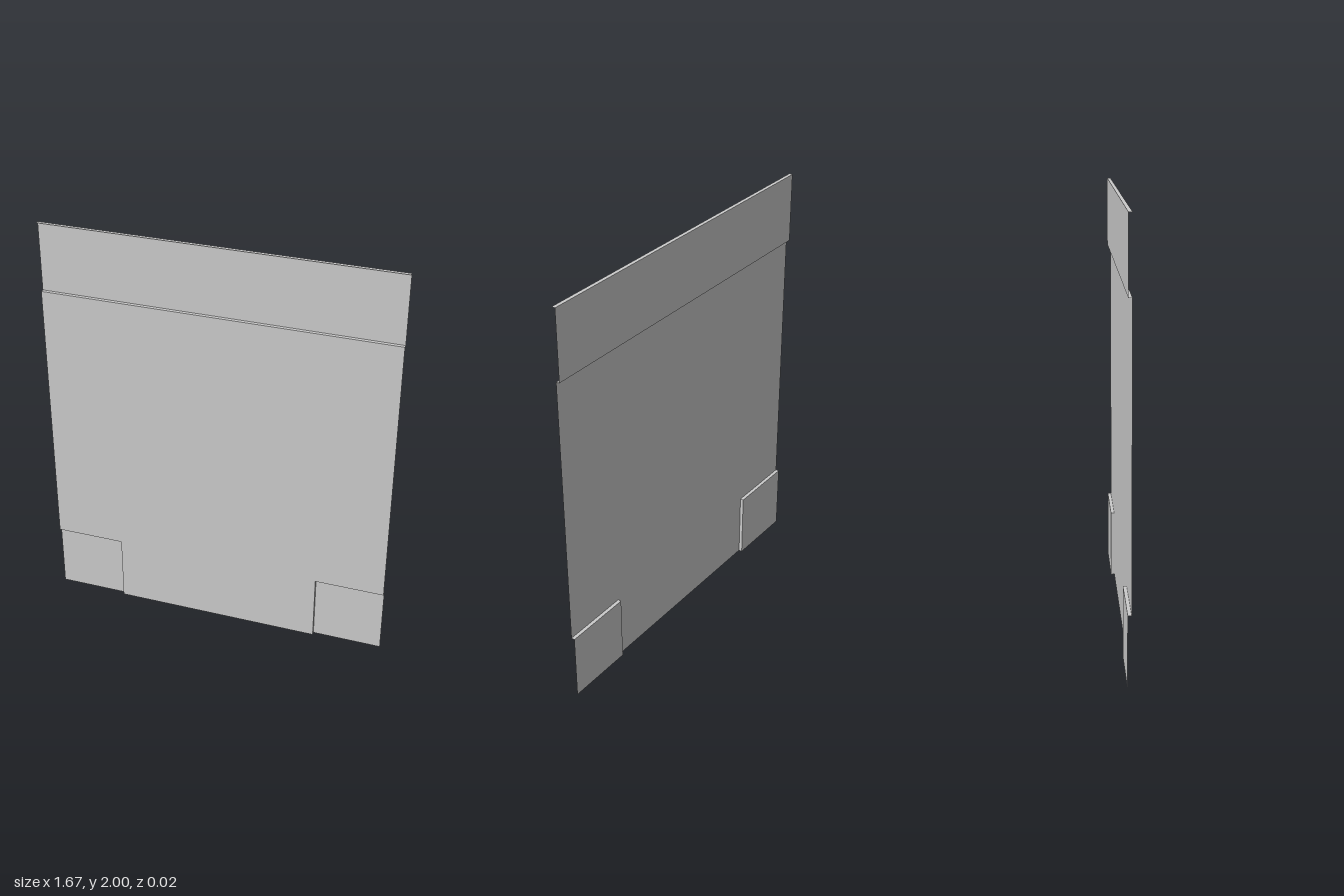
import * as THREE from 'three';

const U = 1 / 6;           // layout module
const D = 1 / 120;         // half the step between front and back planes
const W = 5 * U, H = 2, FOLD = 10 * U, NOTCH_X = 3 * U, NOTCH_Y = 2 * U;

const material = new THREE.MeshStandardMaterial({ color: 0xcccccc, side: THREE.DoubleSide });

export function createModel() {
  const model = new THREE.Group();
  model.name = 'steppedPanel';

  const add = (name, geometry, x, y, z) => {
    const mesh = new THREE.Mesh(geometry, material);
    mesh.name = name;
    mesh.position.set(x, y, z);
    model.add(mesh);
  };
  // Upright sheet, horizontal ledge and vertical side step
  const sheet = (name, w, h, x, y, z) => add(name, new THREE.PlaneGeometry(w, h), x, y, z);
  const ledge = (name, w, x, y) =>
    add(name, new THREE.PlaneGeometry(w, 2 * D).rotateX(-Math.PI / 2), x, y, 0);
  const sideStep = (name, h, x, y, s) =>
    add(name, new THREE.PlaneGeometry(2 * D, h).rotateY(s * Math.PI / 2), x, y, 0);

  // Main sheet on the front plane, with both lower corners cut out
  const outline = new THREE.Shape([
    [-NOTCH_X, 0], [NOTCH_X, 0], [NOTCH_X, NOTCH_Y], [W, NOTCH_Y],
    [W, FOLD], [-W, FOLD], [-W, NOTCH_Y], [-NOTCH_X, NOTCH_Y],
  ].map(([x, y]) => new THREE.Vector2(x, y)));
  add('mainSheet', new THREE.ShapeGeometry(outline), 0, 0, D);

  // Upper band on the back plane, with ledges below and above it
  sheet('upperBand', 2 * W, H - FOLD, 0, (H + FOLD) / 2, -D);
  ledge('bandLedge', 2 * W, 0, FOLD);
  ledge('topLedge', 2 * W, 0, H);

  // Recessed lower corners with their steps
  for (const [side, s] of [['left', 1], ['right', -1]]) {
    const w = W - NOTCH_X, x = s * (W + NOTCH_X) / 2;
    sheet(side + 'CornerSheet', w, NOTCH_Y, x, NOTCH_Y / 2, -D);
    ledge(side + 'CornerLedge', w, x, NOTCH_Y);
    sideStep(side + 'CornerStep', NOTCH_Y, s * NOTCH_X, NOTCH_Y / 2, s);
  }
  return model;
}
